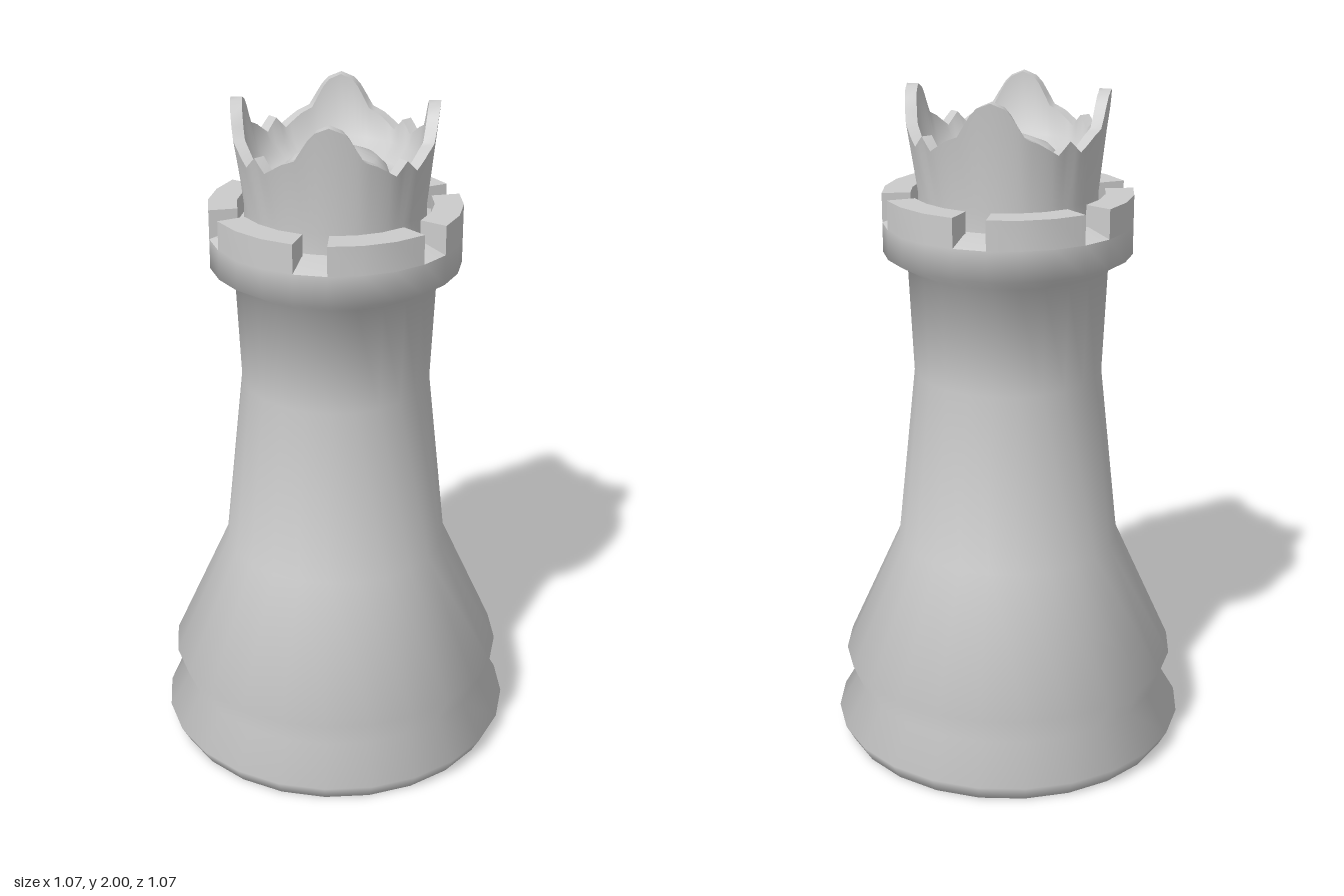
import * as THREE from 'three';
import { toCreasedNormals } from 'three/addons/utils/BufferGeometryUtils.js';

const material = new THREE.MeshStandardMaterial({ color: 0xcccccc });
const DEG = Math.PI / 180;

function addMesh(parent, name, geometry, crease) {
  const mesh = new THREE.Mesh(toCreasedNormals(geometry, crease * DEG), material);
  mesh.name = name;
  parent.add(mesh);
  return mesh;
}

const profile = (pairs) => pairs.map(([r, y]) => new THREE.Vector2(r, y));

// Rim height of the crown: four tall peaks with a small bump between them
const RIM = [[0, 2], [7.5, 1.985], [11.25, 1.965], [18.75, 1.905], [26.25, 1.89], [37.5, 1.855], [45, 1.89]];
function rimHeight(angle) {
  const a = ((angle / DEG) % 90 + 90) % 90;
  const t = Math.min(a, 90 - a);
  for (let i = 1; i < RIM.length; i++) {
    const [a0, h0] = RIM[i - 1], [a1, h1] = RIM[i];
    if (t <= a1) return h0 + (h1 - h0) * (t - a0) / (a1 - a0);
  }
  return 1.89;
}

// Wall block: a 45 degree ring sector in three flat facets
function merlonGeometry(start) {
  const at = (r, k) => new THREE.Vector2(r * Math.cos((start + 15 * k) * DEG), r * Math.sin((start + 15 * k) * DEG));
  const steps = [0, 1, 2, 3];
  const shape = new THREE.Shape([
    ...steps.map((k) => at(0.362, k)),
    ...steps.reverse().map((k) => at(0.28, k)),
  ]);
  const geometry = new THREE.ExtrudeGeometry(shape, { depth: 0.085, bevelEnabled: false });
  return geometry.rotateX(-Math.PI / 2).translate(0, 1.617, 0);
}

export function createModel() {
  const group = new THREE.Group();
  group.name = 'chessPiece';

  // Foot, waist, tapering shaft and collar
  const body = new THREE.LatheGeometry(profile([
    [0, 0], [0.51, 0], [0.537, 0.05], [0.47, 0.165], [0.507, 0.255],
    [0.335, 0.64], [0.278, 1.17], [0.292, 1.49], [0.362, 1.53],
    [0.362, 1.617], [0.29, 1.64], [0, 1.64],
  ]), 24);
  addMesh(group, 'body', body, 62);

  // Six battlement blocks with 15 degree gaps
  const battlements = new THREE.Group();
  battlements.name = 'battlements';
  for (let i = 0; i < 6; i++) addMesh(battlements, 'merlon', merlonGeometry(30 + 60 * i), 40);
  group.add(battlements);

  // Flared crown with a low dome inside; its rim rows follow rimHeight
  const crown = new THREE.LatheGeometry(profile([
    [0.262, 1.62], [0.258, 1.7], [0.29, 2], [0.257, 2], [0.242, 1.82],
    [0.2, 1.775], [0.155, 1.775], [0.145, 1.805], [0.115, 1.835], [0.06, 1.857], [0, 1.865],
  ]), 96);
  const p = crown.attributes.position;
  for (let i = 0; i < p.count; i++) {
    if (p.getY(i) > 1.95) p.setY(i, rimHeight(Math.atan2(p.getZ(i), p.getX(i))));
  }
  addMesh(group, 'crown', crown, 50);

  return group;
}
